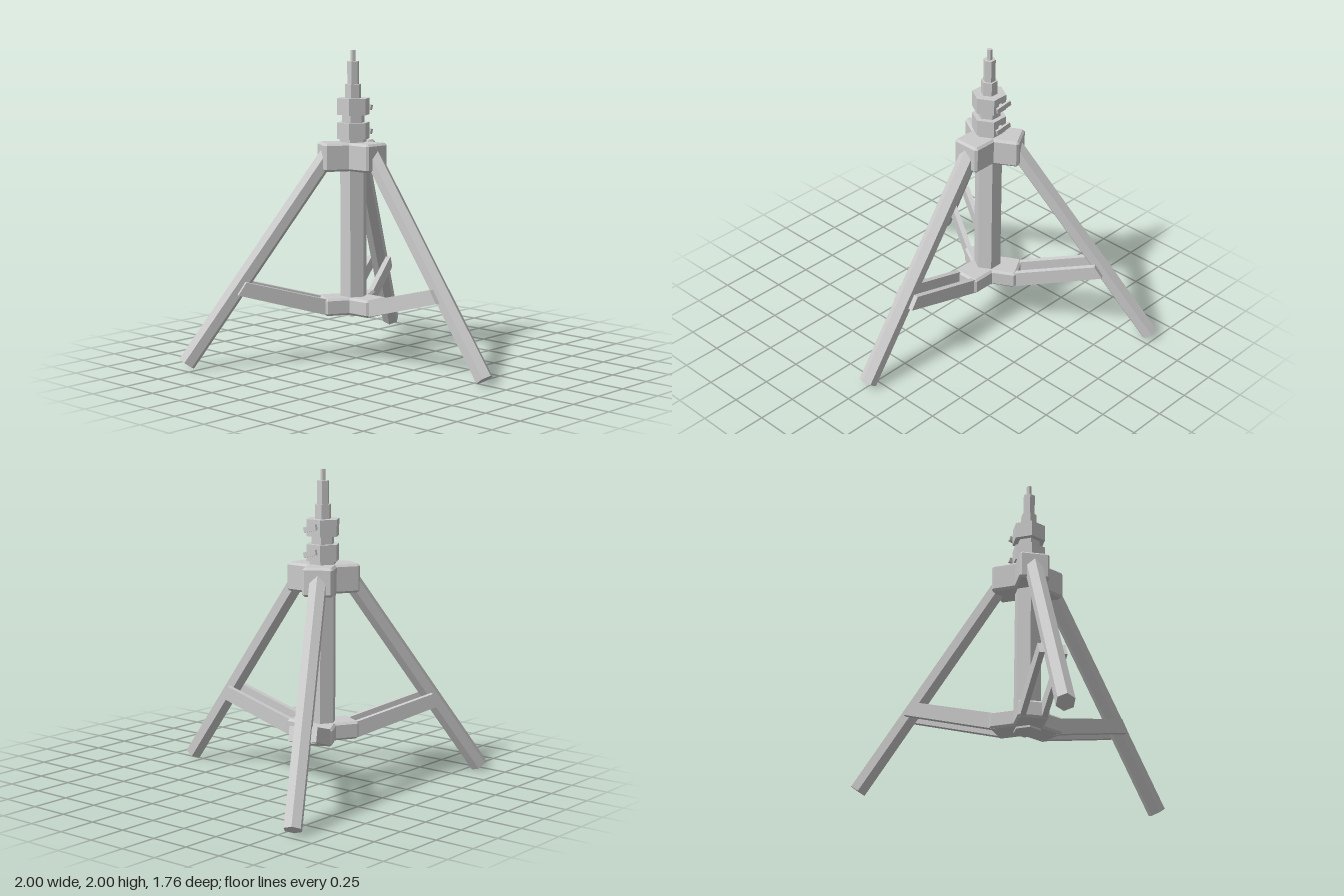
import * as THREE from 'three';

const material = new THREE.MeshStandardMaterial({ color: 0xcccccc, flatShading: true });
const HEX = 0.866; // flat-to-vertex ratio of a hexagon

function add(parent, name, geometry) {
  const mesh = new THREE.Mesh(geometry, material);
  mesh.name = name;
  parent.add(mesh);
  return mesh;
}

// upright hexagonal prism with a vertex facing the front
function hexPrism(parent, name, radius, y0, y1) {
  const mesh = add(parent, name, new THREE.CylinderGeometry(radius, radius, y1 - y0, 6));
  mesh.position.y = (y0 + y1) / 2;
  return mesh;
}

// three-armed bracket with chamfered corners and edges
function bracket(parent, name, y0, y1) {
  const reach = 0.215, half = 0.096, cut = 0.014, bevel = 0.014;
  const points = [];
  for (let k = 0; k < 3; k++) {
    const a = -Math.PI / 2 + (k * 2 * Math.PI) / 3;
    const corners = [
      [half / Math.tan(Math.PI / 3), -half],
      [reach - cut, -half], [reach, -half + cut],
      [reach, half - cut], [reach - cut, half],
    ];
    for (const [u, v] of corners) {
      points.push(new THREE.Vector2(u * Math.cos(a) - v * Math.sin(a), u * Math.sin(a) + v * Math.cos(a)));
    }
  }
  const geometry = new THREE.ExtrudeGeometry(new THREE.Shape(points), {
    depth: y1 - y0 - 2 * bevel, bevelThickness: bevel, bevelSize: bevel, bevelOffset: -bevel, bevelSegments: 1,
  });
  geometry.rotateX(-Math.PI / 2);
  add(parent, name, geometry).position.y = y0 + bevel;
}

// slanted leg reaching along +z
function leg(parent) {
  const foot = new THREE.Vector3(0, 0.034, 1.103);
  const top = new THREE.Vector3(0, 1.347, 0.16);
  const axis = top.clone().sub(foot);
  const mesh = add(parent, 'leg', new THREE.CylinderGeometry(0.0577, 0.0577, axis.length(), 6));
  mesh.position.copy(foot).add(top).multiplyScalar(0.5);
  mesh.rotation.x = Math.atan2(axis.z, axis.y);
}

// pair of flat rails joining the lower bracket to a leg
function braceRails(parent) {
  const thickness = 0.034;
  const profile = new THREE.Shape([
    new THREE.Vector2(0.18, 0.302), new THREE.Vector2(0.78, 0.47),
    new THREE.Vector2(0.728, 0.55), new THREE.Vector2(0.18, 0.405),
  ]);
  for (const side of [-1, 1]) {
    const geometry = new THREE.ExtrudeGeometry(profile, { depth: thickness, bevelEnabled: false });
    geometry.rotateY(-Math.PI / 2);
    geometry.translate(thickness / 2 + side * 0.066, 0, 0);
    add(parent, 'braceRail', geometry);
  }
}

// clamp collar with a wing screw on its +x face
function clamp(parent, y0, y1) {
  const group = new THREE.Group();
  group.name = 'clamp';
  parent.add(group);
  hexPrism(group, 'collar', 0.109, y0, y1);
  const screw = new THREE.Group();
  screw.name = 'wingScrew';
  screw.position.set(0.109 * HEX, (y0 + y1) / 2, 0);
  group.add(screw);
  const shaft = add(screw, 'screwShaft', new THREE.CylinderGeometry(0.014, 0.014, 0.04, 6));
  shaft.rotation.z = Math.PI / 2;
  shaft.position.x = 0.01;
  const wing = add(screw, 'screwWing', new THREE.BoxGeometry(0.016, 0.034, 0.108));
  wing.position.x = 0.028;
  wing.rotation.set(0.25, -0.12, 0);
}

export function createModel() {
  const model = new THREE.Group();
  model.name = 'tripodStand';
  const stand = new THREE.Group();
  stand.name = 'stand';
  stand.position.z = -0.272;
  model.add(stand);

  // telescoping column
  hexPrism(stand, 'column', 0.088, 0.29, 1.45);
  hexPrism(stand, 'lowerTube', 0.074, 1.45, 1.64);
  hexPrism(stand, 'middleTube', 0.053, 1.64, 1.785);
  hexPrism(stand, 'upperTube', 0.039, 1.785, 1.93);
  hexPrism(stand, 'topSpigot', 0.017, 1.93, 2.0);
  clamp(stand, 1.435, 1.54);
  clamp(stand, 1.59, 1.695);

  // brackets
  bracket(stand, 'upperBracket', 1.235, 1.415);
  bracket(stand, 'lowerBracket', 0.303, 0.415);

  // three legs with their braces
  for (let k = 0; k < 3; k++) {
    const assembly = new THREE.Group();
    assembly.name = 'legAssembly';
    assembly.rotation.y = (k * 2 * Math.PI) / 3;
    leg(assembly);
    braceRails(assembly);
    stand.add(assembly);
  }
  return model;
}
